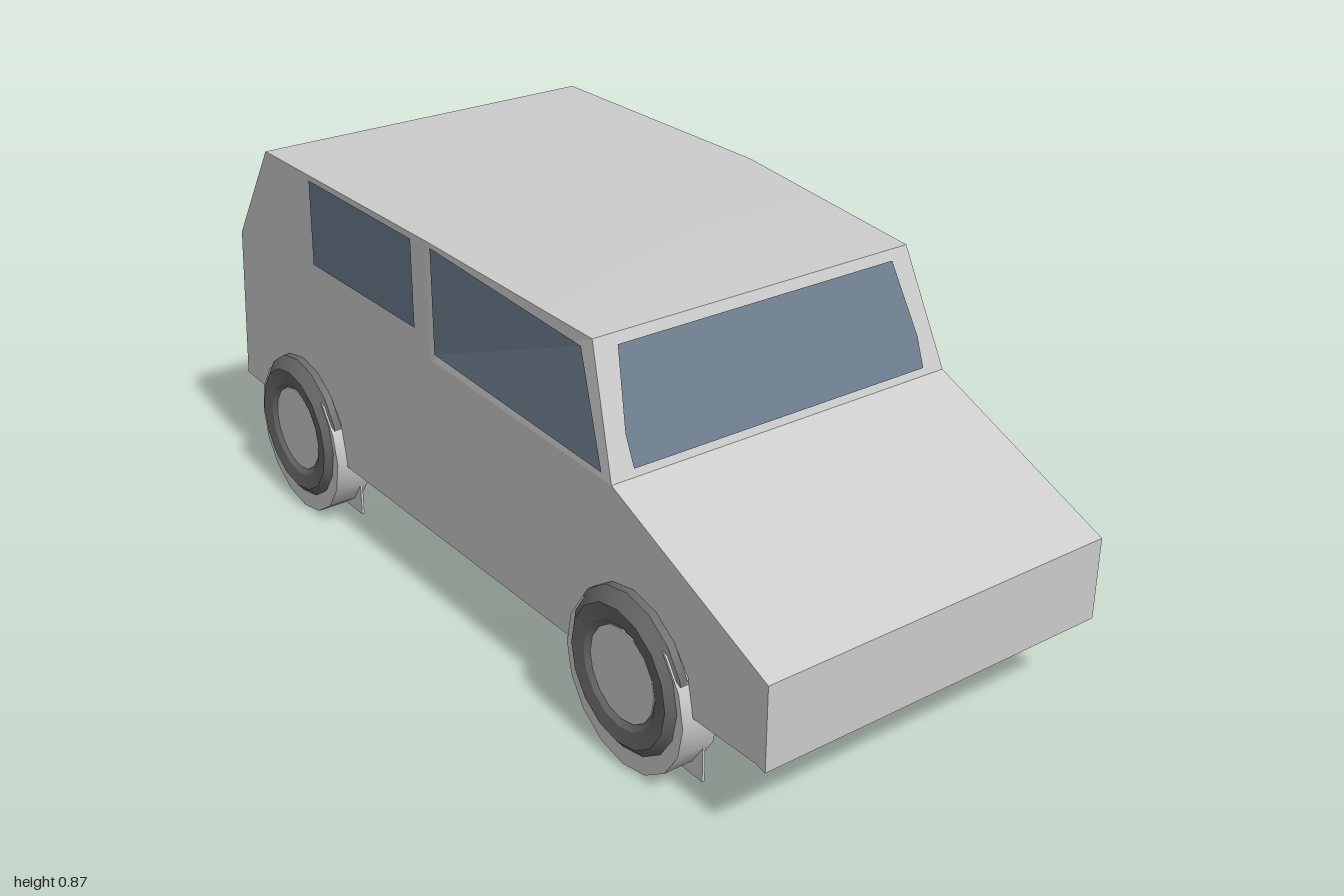
import * as THREE from 'three';
import { toCreasedNormals } from 'three/addons/utils/BufferGeometryUtils.js';

const HALF = 0.43;
const material = (color) => new THREE.MeshStandardMaterial({ color, side: THREE.DoubleSide });
const grey = material(0xcccccc);
const glass = material(0x6c7d8e);
const rubber = material(0x6a6a6a);

function mesh(name, geometry, mat = grey) {
  const m = new THREE.Mesh(geometry, mat);
  m.name = name;
  return m;
}

function fromTriangles(positions) {
  const g = new THREE.BufferGeometry();
  g.setAttribute('position', new THREE.Float32BufferAttribute(positions, 3));
  g.computeVertexNormals();
  return g;
}

// Side polygon given as [z, y] points, facing outwards on the chosen side
function panel(points, side, xOf) {
  const v = points.map(([z, y]) => new THREE.Vector2(z, y));
  const out = [];
  for (const [a, b, c] of THREE.ShapeUtils.triangulateShape(v, [])) {
    const ccw = THREE.ShapeUtils.area([v[a], v[b], v[c]]) > 0;
    const order = ccw === (side < 0) ? [a, b, c] : [a, c, b];
    for (const i of order) out.push(side * xOf(v[i].x, v[i].y), v[i].y, v[i].x);
  }
  return fromTriangles(out);
}

// Inward lean of the front cabin sides, folded along a diagonal
function sideX(z, y) {
  const belt = 0.58 + (0.54 - z) * 0.031;
  const lean = Math.min((y - belt) / 0.252, (z + 0.1) / 0.54);
  return HALF - 0.03 * Math.max(0, lean);
}

// Wheel arch as [z, y] points, from rear to front
function arch(z0, zStart, zEnd) {
  const pts = [];
  for (let i = 0; i <= 8; i++) {
    const a = Math.PI * (1 - i / 8);
    const half = i < 4 ? z0 - zStart : zEnd - z0;
    pts.push([z0 + Math.cos(a) * half, 0.22 + Math.sin(a) * 0.16]);
  }
  return pts;
}

function createBody() {
  const body = new THREE.Group();
  body.name = 'body';
  const under = [
    [-1, 0.235], [-0.88, 0.23], ...arch(-0.69, -0.87, -0.51), [-0.51, 0.175],
    [0.43, 0.175], ...arch(0.61, 0.43, 0.79), [0.79, 0.2], [0.97, 0.205], [1, 0.2],
  ];
  const nose = [[1, 0.23], [1, 0.385], [0.54, 0.58]];
  const rear = [[-0.1, 0.867], [-0.8, 0.867], [-0.965, 0.62]];

  // Skin running round the whole profile
  const outline = [...under, ...nose, [0.44, 0.835], ...rear];
  const skin = [];
  outline.forEach(([z, y], i) => {
    const [z2, y2] = outline[(i + 1) % outline.length];
    const x = sideX(z, y), x2 = sideX(z2, y2);
    skin.push(-x, y, z, x, y, z, x2, y2, z2, -x, y, z, x2, y2, z2, -x2, y2, z2);
  });
  body.add(mesh('shell', toCreasedNormals(fromTriangles(skin), 0.55)));

  // Flat body sides and the two folded panels of the front cabin
  for (const side of [-1, 1]) {
    body.add(mesh('bodySide', panel([...under, ...nose, [-0.1, 0.6], ...rear], side, () => HALF)));
    body.add(mesh('cabinSideLower', panel([[0.54, 0.58], [-0.1, 0.6], [0.44, 0.835]], side, sideX)));
    body.add(mesh('cabinSideUpper', panel([[-0.1, 0.6], [-0.1, 0.867], [0.44, 0.835]], side, sideX)));
  }
  return body;
}

function createWindows() {
  const windows = new THREE.Group();
  windows.name = 'windows';
  const glassX = (z, y) => sideX(z, y) + 0.003;
  const add = (name, points, side) => windows.add(mesh(name, panel(points, side, glassX), glass));

  // One side has a diagonal bar across the front window
  add('frontWindowLower', [[0.51, 0.595], [0.412, 0.8], [-0.03, 0.61]], 1);
  add('frontWindowUpper', [[0.385, 0.812], [-0.08, 0.858], [-0.08, 0.625]], 1);
  add('rearWindow', [[-0.155, 0.855], [-0.59, 0.857], [-0.595, 0.805], [-0.155, 0.65]], 1);

  // The other side has plain four-cornered windows
  add('frontWindowLower', [[0.51, 0.595], [0.412, 0.812], [-0.08, 0.62]], -1);
  add('frontWindowUpper', [[0.412, 0.812], [-0.08, 0.858], [-0.08, 0.62]], -1);
  add('rearWindow', [[-0.155, 0.855], [-0.59, 0.857], [-0.595, 0.655], [-0.155, 0.655]], -1);

  // Windscreen laid on the slope between bonnet and roof
  const shape = new THREE.Shape([
    [-0.375, 0.597], [0.375, 0.597], [0.377, 0.66], [0.35, 0.815], [-0.35, 0.815], [-0.377, 0.66],
  ].map(([x, y]) => new THREE.Vector2(x, y)));
  const screen = new THREE.ShapeGeometry(shape);
  const p = screen.attributes.position;
  for (let i = 0; i < p.count; i++) p.setZ(i, 0.544 - (p.getY(i) - 0.58) * 0.392);
  screen.computeVertexNormals();
  windows.add(mesh('windscreen', screen, glass));
  return windows;
}

function createWheel(side, z) {
  const wheel = new THREE.Group();
  wheel.name = 'wheel';
  const turn = -side * Math.PI / 2; // lathe axis points outwards

  const tread = new THREE.CylinderGeometry(0.186, 0.186, 0.085, 16).rotateZ(turn);
  const tyre = mesh('tread', toCreasedNormals(tread, 0.6));
  tyre.position.set(side * 0.413, 0.187, z);

  // Bevelled dark ring around the hub
  const profile = [[0.178, 0.43], [0.178, 0.447], [0.16, 0.462], [0.15, 0.47], [0.115, 0.466], [0.1, 0.455]];
  const lathe = new THREE.LatheGeometry(profile.map(([r, h]) => new THREE.Vector2(r, h)), 16);
  const ring = mesh('wheelRing', toCreasedNormals(lathe.rotateZ(turn), 0.5), rubber);
  ring.position.set(0, 0.21, z);

  const hub = mesh('hub', new THREE.CylinderGeometry(0.102, 0.102, 0.02, 16).rotateZ(turn));
  hub.position.set(side * 0.449, 0.21, z);

  // Thin plate whose lower corners show beside the tyre
  const plate = mesh('wheelPlate', new THREE.BoxGeometry(0.006, 0.16, 0.326));
  plate.position.set(side * 0.385, 0.105, z);

  wheel.add(tyre, ring, hub, plate);
  return wheel;
}

export function createModel() {
  const model = new THREE.Group();
  model.name = 'car';
  model.add(createBody(), createWindows());
  for (const side of [-1, 1]) {
    for (const z of [0.61, -0.69]) model.add(createWheel(side, z));
  }
  return model;
}
